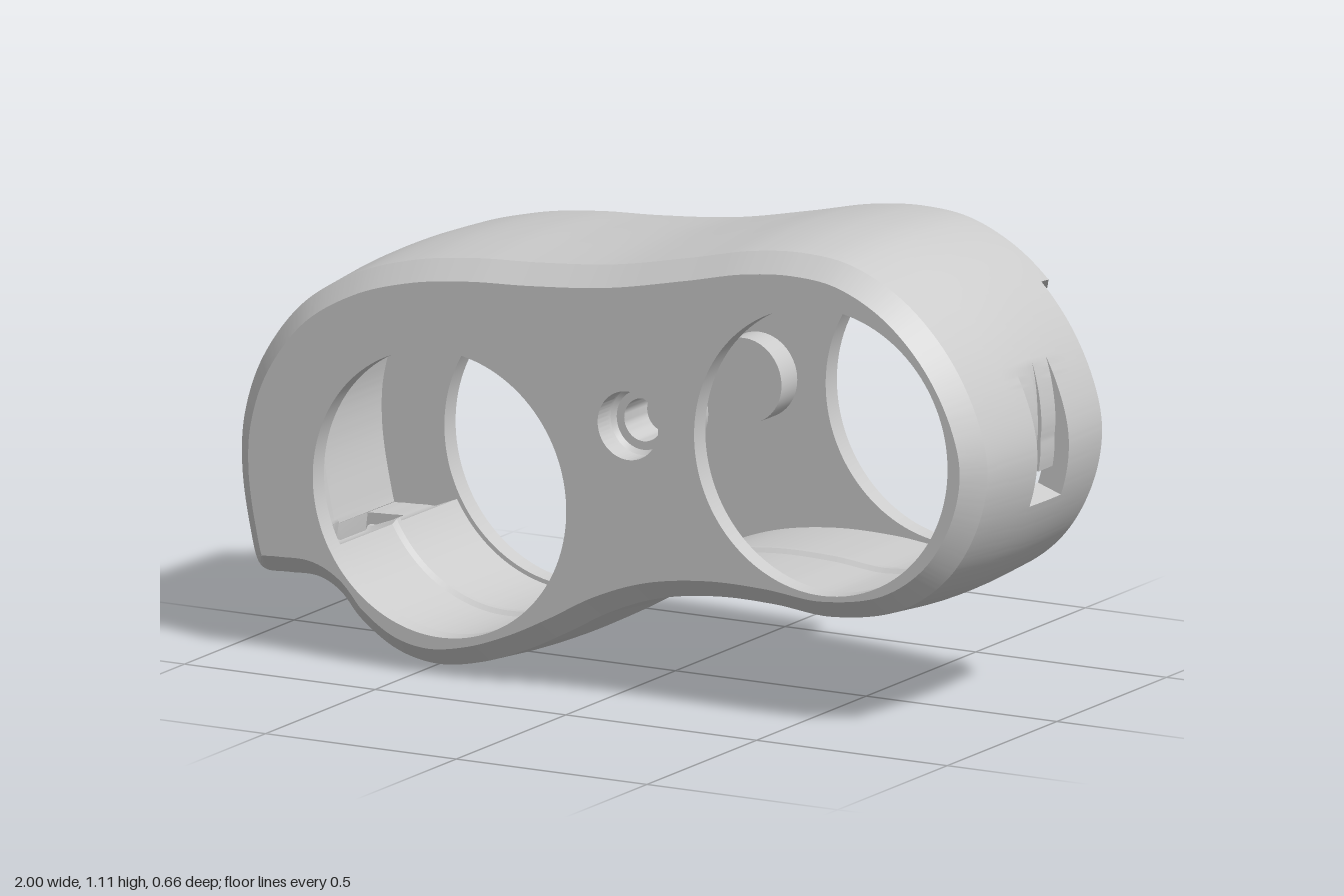
import * as THREE from 'three';
import { toCreasedNormals } from 'three/addons/utils/BufferGeometryUtils.js';

const material = new THREE.MeshStandardMaterial({ color: 0xcccccc, side: THREE.DoubleSide });
const N = 600, HALF = 0.318, BEVEL = 0.06, PLATE = 0.05;
const HOLE_R = 0.335, LEFT = [-0.435, 0.425], RIGHT = [0.573, 0.645], SCREW = [0.063, 0.645];
const CUT = { low: 0.318, high: 0.967, z: -0.232 };

// Outline of the body, clockwise from the upper shoulder
const OUTLINE = [
  [-0.687, 0.917], [-0.527, 0.967], [-0.366, 0.99], [-0.2, 1.0], [0, 1.02], [0.2, 1.06],
  [0.36, 1.095], [0.5, 1.107], [0.63, 1.092], [0.77, 1.025], [0.89, 0.91], [0.97, 0.77],
  [1, 0.64], [0.973, 0.5], [0.89, 0.365], [0.757, 0.272], [0.575, 0.236], [0.42, 0.247],
  [0.275, 0.247], [0.125, 0.225], [0, 0.18], [-0.12, 0.115], [-0.23, 0.061], [-0.35, 0.018],
  [-0.47, 0], [-0.58, 0.022], [-0.68, 0.085], [-0.735, 0.143], [-0.785, 0.167], [-0.86, 0.167],
  [-0.925, 0.167], [-0.953, 0.187], [-0.98, 0.28], [-1, 0.42], [-0.993, 0.54], [-0.945, 0.68],
  [-0.835, 0.825],
];

// Evenly spaced, counter-clockwise outline points and inward directions
const curve = new THREE.CatmullRomCurve3(
  OUTLINE.map(([x, y]) => new THREE.Vector3(x, y, 0)).reverse(), true);
curve.arcLengthDivisions = 3000;
const pts = curve.getSpacedPoints(N).slice(0, N);
const inward = pts.map((p, i) => {
  const t = pts[(i + 1) % N].clone().sub(pts[(i + N - 1) % N]).normalize();
  return new THREE.Vector3(-t.y, t.x, 0);
});
const offsetPoint = (i, inset) => pts[i].clone().addScaledVector(inward[i], inset);

// Outline moved inward; points that fold over at a tight corner collapse into one
function ring(inset) {
  const out = pts.map((p, i) => offsetPoint(i, inset));
  const ok = out.map((q) => pts.every((p) => p.distanceTo(q) > inset * 0.97 - 1e-6));
  return out.map((q, i) => {
    if (ok[i]) return q;
    let a = i, b = i;
    for (let s = 0; s < 100 && !ok[a]; s++) a = (a + N - 1) % N;
    for (let s = 0; s < 100 && !ok[b]; s++) b = (b + 1) % N;
    return out[a].clone().add(out[b]).multiplyScalar(0.5);
  });
}

// Inner wall: follows the outline, but is a true cylinder under the left hole
function innerRing(inset) {
  const centre = new THREE.Vector3(...LEFT, 0);
  return ring(inset).map((p) => {
    const d = p.clone().sub(centre);
    if (d.length() > 0.4 || d.y > 0) return p;
    return centre.clone().add(d.setLength(HOLE_R + 0.075 - inset));
  });
}

// Wall levels: z, outer inset, inner inset (with a thin rib around the middle)
const LEVELS = [
  [-HALF, BEVEL, 0.065], [-0.27, 0.015, 0.065], [CUT.z, 0.01, 0.065], [-0.15, 0.005, 0.065],
  [-0.069, 0.001, 0.065], [-0.015, 0, 0.065], [-0.005, 0, 0.075], [0.01, 0, 0.075],
  [0.02, 0, 0.065], [0.071, 0.001, 0.065], [0.13, 0.004, 0.065], [0.27, 0.015, 0.065],
  [HALF, BEVEL, 0.065],
];

function buildWall() {
  const outerRings = LEVELS.map((l) => ring(l[1])), innerRings = LEVELS.map((l) => innerRing(l[2]));
  const pos = [];
  const quad = (a, b, c, d) => [a, b, c, a, c, d].forEach((p) => pos.push(p.x, p.y, p.z));
  const at = (p, j) => new THREE.Vector3(p.x, p.y, LEVELS[j][0]);

  // What each wall cell is: solid, recess, groove or open
  const kind = (i, j) => {
    const a = pts[i], b = pts[(i + 1) % N];
    const x = (a.x + b.x) / 2, y = (a.y + b.y) / 2;
    const z = (LEVELS[j][0] + LEVELS[j + 1][0]) / 2;
    if (x > 0.6 && y > CUT.low && y < CUT.high && z < CUT.z) return 'open';
    if (x > 0.9 && z > -0.069 && z < 0.071 && y > 0.515 && y < 0.835) {
      if (y < 0.575) return 'open';
      return z > -0.005 && z < 0.01 ? 'groove' : 'recess';
    }
    if (y < 0.19 && x > -0.91 && x < -0.81 && z > -0.15 && z < 0.13) return 'open';
    return 'solid';
  };
  const inner = (i, j) => at(innerRings[j][i % N], j);
  const outer = (k, i, j) => {
    i %= N;
    if (k === 'open') return inner(i, j);
    if (k === 'solid') return at(outerRings[j][i], j);
    const depth = Math.min(1, Math.max(0, (0.835 - pts[i].y) / 0.18));
    return at(offsetPoint(i, LEVELS[j][1] + depth * (k === 'groove' ? 0.054 : 0.038)), j);
  };

  for (let i = 0; i < N; i++) {
    for (let j = 0; j < LEVELS.length - 1; j++) {
      const k = kind(i, j), side = kind((i + 1) % N, j);
      if (k !== 'open') {
        quad(outer(k, i, j), outer(k, i + 1, j), outer(k, i + 1, j + 1), outer(k, i, j + 1));
        quad(inner(i, j), inner(i, j + 1), inner(i + 1, j + 1), inner(i + 1, j));
      }
      // Step faces where neighbouring cells differ
      if (side !== k) {
        quad(outer(k, i + 1, j), outer(side, i + 1, j),
          outer(side, i + 1, j + 1), outer(k, i + 1, j + 1));
      }
      if (j < LEVELS.length - 2) {
        const up = kind(i, j + 1);
        if (up !== k) {
          quad(outer(k, i, j + 1), outer(k, i + 1, j + 1),
            outer(up, i + 1, j + 1), outer(up, i, j + 1));
        }
      }
    }
  }
  const geo = new THREE.BufferGeometry();
  geo.setAttribute('position', new THREE.Float32BufferAttribute(pos, 3));
  return toCreasedNormals(geo, 0.5);
}

const circle = ([x, y], r) => new THREE.Path().absarc(x, y, r, 0, Math.PI * 2, true);

// Face plate; the back one opens from the right hole through to the edge
function buildPlate(notched) {
  let edge = ring(BEVEL).filter((p, i, all) => p.distanceTo(all[(i + 1) % N]) > 1e-5)
    .map((p) => new THREE.Vector2(p.x, p.y));
  if (notched) {
    const inCut = (p) => p.x > 0.6 && p.y > CUT.low && p.y < CUT.high;
    const n = edge.length;
    const start = edge.findIndex((p, i) => !inCut(p) && inCut(edge[(i + n - 1) % n]));
    edge = [...edge.slice(start), ...edge.slice(0, start)].filter((p) => !inCut(p));
    const a0 = -Math.asin((RIGHT[1] - CUT.low) / HOLE_R);
    const a1 = Math.asin((CUT.high - RIGHT[1]) / HOLE_R) - Math.PI * 2;
    for (let s = 0; s <= 72; s++) {
      const a = a0 + (a1 - a0) * s / 72;
      edge.push(new THREE.Vector2(RIGHT[0] + HOLE_R * Math.cos(a), RIGHT[1] + HOLE_R * Math.sin(a)));
    }
  }
  const shape = new THREE.Shape(edge);
  shape.holes.push(circle(LEFT, HOLE_R), circle(SCREW, 0.08));
  if (!notched) shape.holes.push(circle(RIGHT, HOLE_R));
  const geo = new THREE.ExtrudeGeometry(shape, { depth: PLATE, bevelEnabled: false, curveSegments: 72 });
  return toCreasedNormals(geo, 0.5);
}

// Short screw cup with a stepped recess, opening towards +z
function buildCup(length) {
  const profile = [[0, -length], [0.1, -length], [0.1, -0.02], [0.081, 0], [0.08, -0.058],
    [0.07, -0.068], [0.05, -0.068], [0.05, 0.02 - length], [0, 0.02 - length]];
  const geo = new THREE.LatheGeometry(profile.map(([r, z]) => new THREE.Vector2(r, z)), 40);
  geo.rotateX(Math.PI / 2);
  return toCreasedNormals(geo, 0.5);
}

export function createModel() {
  const group = new THREE.Group();
  group.name = 'twinBarrelHousing';
  const add = (name, geo, x = 0, y = 0, z = 0) => {
    const mesh = new THREE.Mesh(geo, material);
    mesh.name = name;
    mesh.position.set(x, y, z);
    group.add(mesh);
    return mesh;
  };
  add('outerWall', buildWall());
  add('frontPlate', buildPlate(false), 0, 0, HALF - PLATE);
  add('backPlate', buildPlate(true), 0, 0, -HALF);
  add('frontScrewCup', buildCup(0.19), ...SCREW, HALF);
  add('backScrewCup', buildCup(0.12), ...SCREW, -HALF).rotation.y = Math.PI;
  // The body sits very slightly turned
  group.rotation.y = -0.014;
  return group;
}
